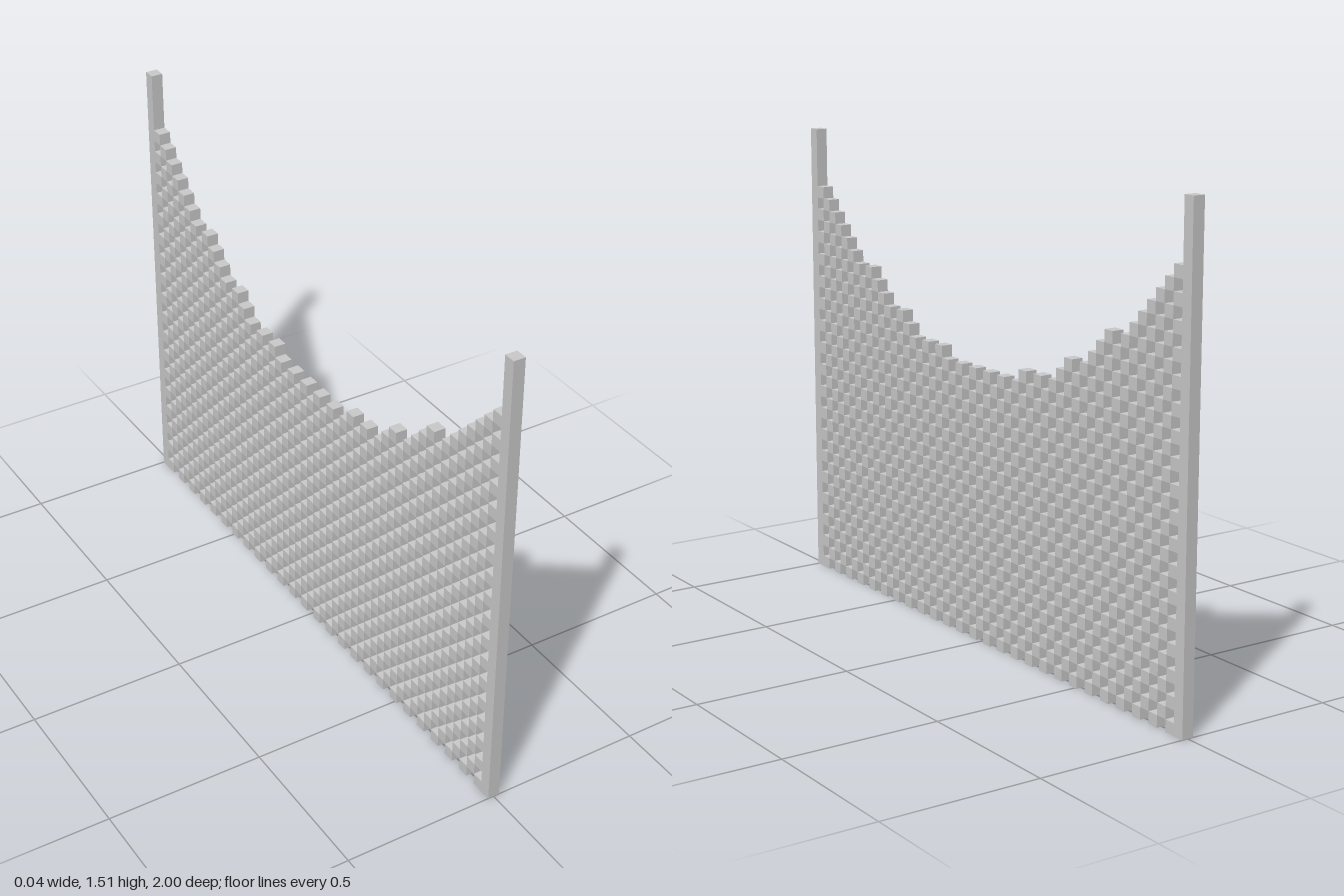
import * as THREE from 'three';
import { mergeGeometries } from 'three/addons/utils/BufferGeometryUtils.js';

const COLUMNS = 53;
const CELL = 2 / COLUMNS;
const POST_ROWS = 40;

// Highest filled row of each lattice column, from a post to the middle
const TOP_ROWS = [
  34, 33, 32, 31, 30, 29, 28, 27, 28, 27, 26, 25, 24,
  25, 24, 23, 22, 23, 22, 23, 22, 21, 22, 21, 22, 21,
];

const material = new THREE.MeshStandardMaterial({ color: 0xcccccc, flatShading: true });

// A block one cell wide, standing on the given row of a column
function block(column, row, rows = 1) {
  const geometry = new THREE.BoxGeometry(CELL, CELL * rows, CELL);
  return geometry.translate(0, (row + rows / 2) * CELL, 1 - (column + 0.5) * CELL);
}

export function createModel() {
  const group = new THREE.Group();
  const add = (name, geometry) => {
    const mesh = new THREE.Mesh(geometry, material);
    mesh.name = name;
    group.add(mesh);
  };

  // End posts
  add('frontPost', block(0, 0, POST_ROWS));
  add('backPost', block(COLUMNS - 1, 0, POST_ROWS));

  // Checkerboard lattice with a sagging, mirrored top edge
  const cubes = [];
  for (let column = 1; column < COLUMNS - 1; column++) {
    const top = TOP_ROWS[Math.min(column, COLUMNS - 1 - column) - 1];
    for (let row = (column + 1) % 2; row <= top; row += 2) cubes.push(block(column, row));
  }
  add('checkerLattice', mergeGeometries(cubes));

  return group;
}
